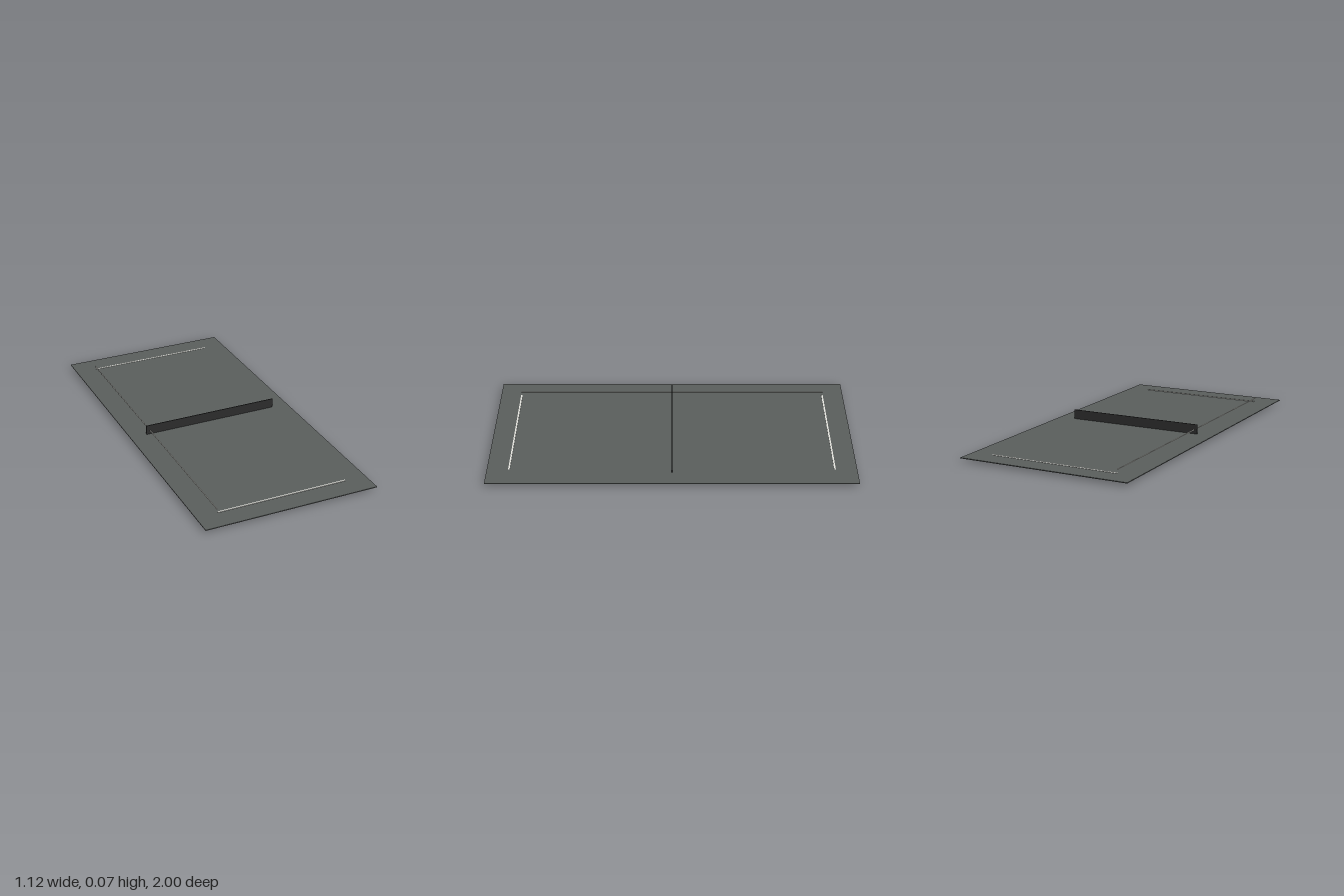
import * as THREE from 'three';

const surface = new THREE.MeshStandardMaterial({ color: 0x5a5e5c });
const netting = new THREE.MeshStandardMaterial({ color: 0x2c2c2c });
const paint = new THREE.MeshStandardMaterial({ color: 0xe6e6e0 });

// Box given by its size, centre and name
function box(parent, name, material, [w, h, d], [x, y, z]) {
  const mesh = new THREE.Mesh(new THREE.BoxGeometry(w, h, d), material);
  mesh.name = name;
  mesh.position.set(x, y, z);
  parent.add(mesh);
}

export function createModel() {
  const model = new THREE.Group();
  model.name = 'court';

  // Everything shares one slight turn about the vertical axis
  const court = new THREE.Group();
  court.name = 'turnedCourt';
  court.rotation.y = -0.105;
  model.add(court);

  // Playing surface and the net across its middle
  box(court, 'courtSurface', surface, [0.925, 0.004, 1.914], [0, 0.019, 0]);
  box(court, 'net', netting, [0.744, 0.058, 0.004], [0, 0.043, 0]);

  // Base lines lie on the surface at both ends
  box(court, 'frontBaseLine', paint, [0.695, 0.004, 0.008], [0, 0.022, 0.842]);
  box(court, 'backBaseLine', paint, [0.695, 0.004, 0.008], [0, 0.0205, -0.842]);

  // Side lines: one floats above the surface, the other hangs below it
  box(court, 'rightSideLine', paint, [0.004, 0.004, 1.688], [-0.351, 0.041, 0]);
  box(court, 'leftSideLine', paint, [0.004, 0.004, 1.688], [0.351, 0.002, 0]);

  return model;
}
